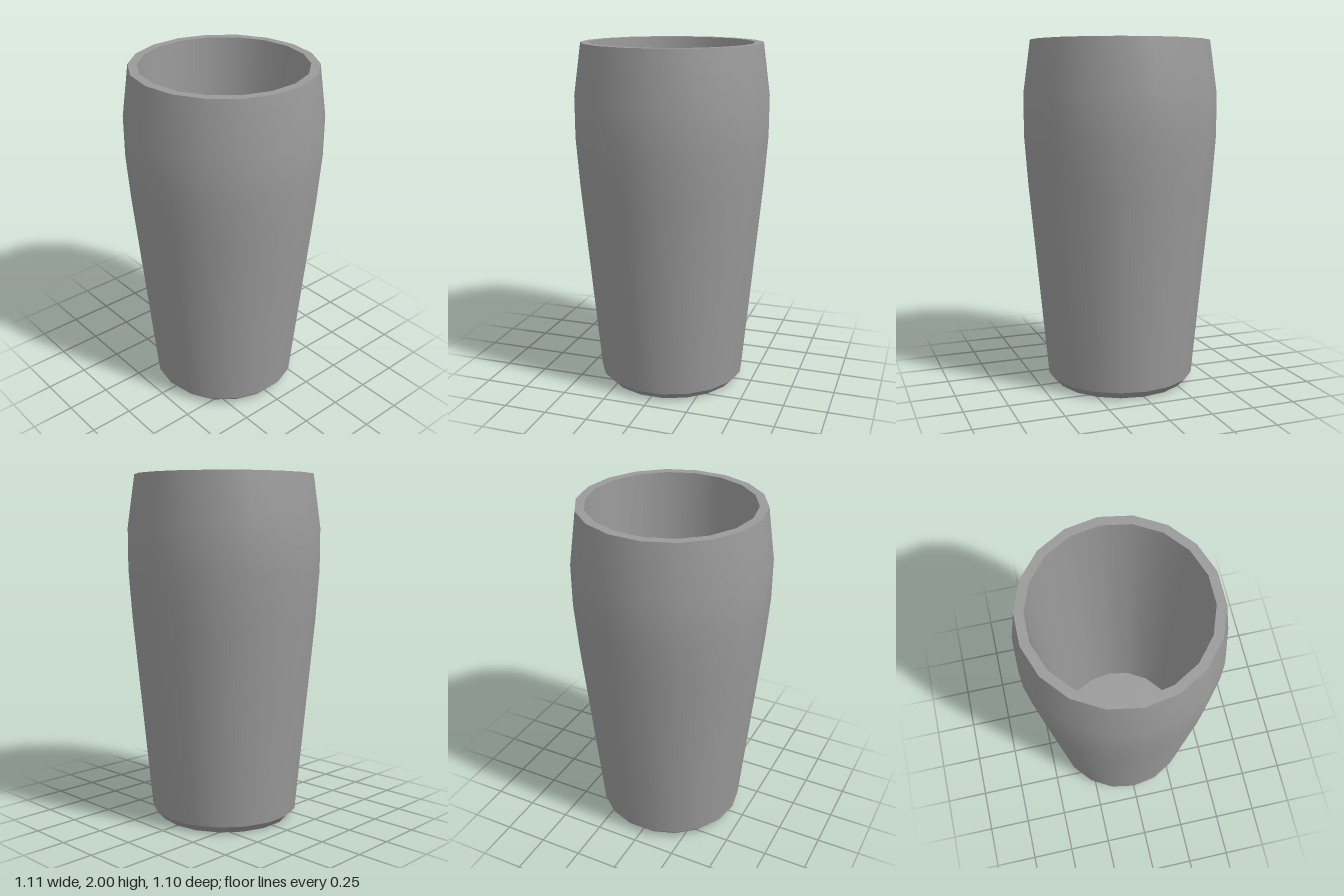
import * as THREE from 'three';

const SIDES = 18;

export function createModel() {
  const group = new THREE.Group();
  group.name = 'tumbler';
  const material = new THREE.MeshStandardMaterial({ color: 0x9a9a9a });

  // Each band is its own lathe, so edges between bands stay sharp
  const addBand = (name, profile) => {
    const points = profile.map(([r, y]) => new THREE.Vector2(r, y));
    const mesh = new THREE.Mesh(new THREE.LatheGeometry(points, SIDES, Math.PI / 2), material);
    mesh.name = name;
    group.add(mesh);
  };

  // Profile runs from the base centre, up the outside, over the rim and down inside
  addBand('base', [[0, 0], [0.387, 0]]);
  addBand('baseChamfer', [[0.387, 0], [0.43, 0.045]]);
  addBand('outerWall', [[0.43, 0.045], [0.537, 1.18], [0.557, 1.46], [0.557, 1.7], [0.515, 2]]);
  addBand('rim', [[0.515, 2], [0.465, 2]]);
  addBand('innerWall', [[0.465, 2], [0.392, 0.07]]);
  addBand('innerFloor', [[0.392, 0.07], [0, 0.07]]);

  return group;
}
